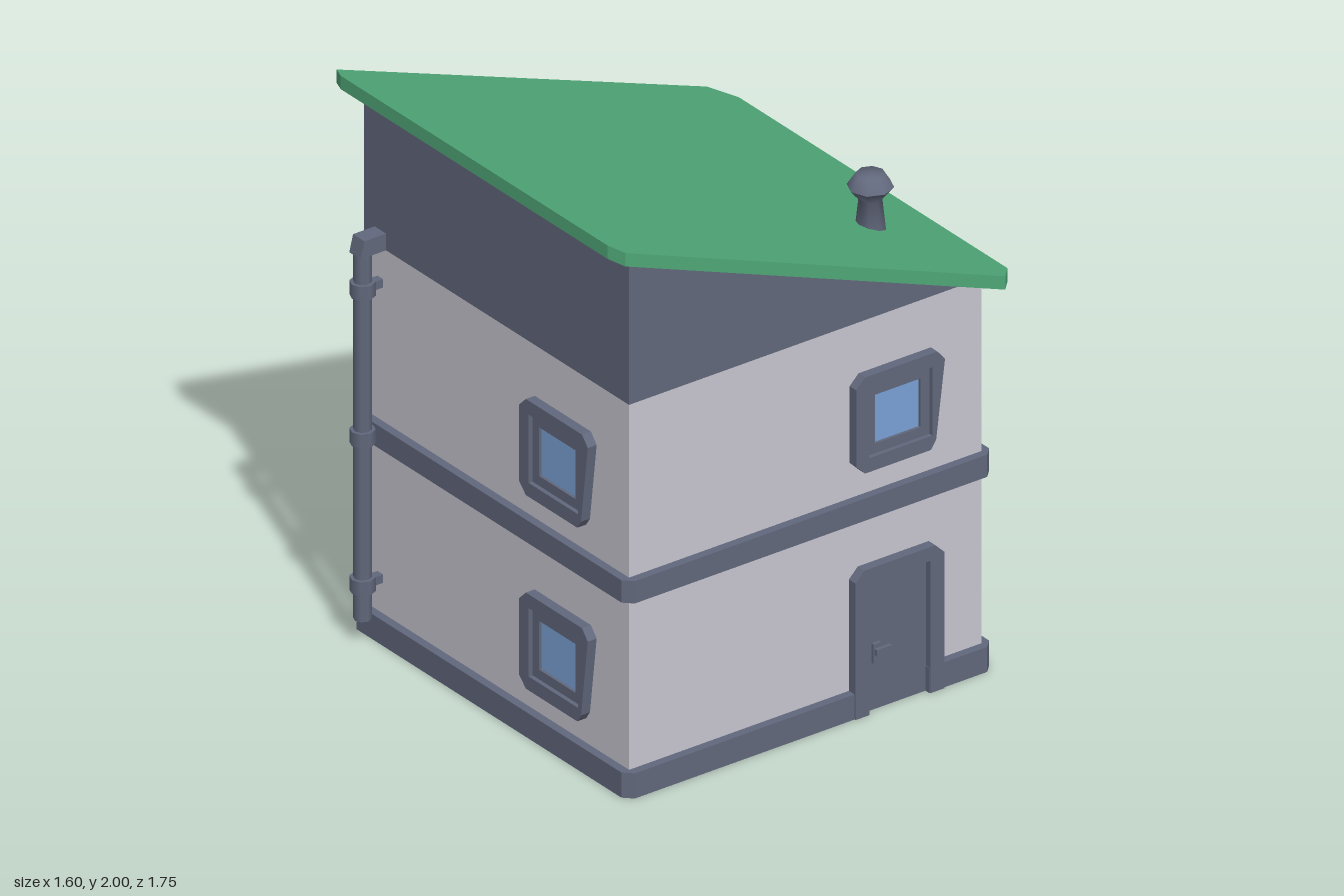
import * as THREE from 'three';
import { toCreasedNormals } from 'three/addons/utils/BufferGeometryUtils.js';

const mat = (name, color) => {
  const m = new THREE.MeshStandardMaterial({ color });
  m.name = name;
  return m;
};

export function createModel() {
  const slate = mat('slate trim', 0x62687c);
  const plaster = mat('pale plaster', 0xc8c6d0);
  const green = mat('green', 0x50a878);
  const blue = mat('blue glass', 0x7aa2d6);
  const clay = mat('clay soil', 0xc67d58);

  const house = new THREE.Group();
  house.name = 'house';

  const add = (parent, name, geo, material, x = 0, y = 0, z = 0) => {
    const m = new THREE.Mesh(geo, material);
    m.name = name;
    m.position.set(x, y, z);
    parent.add(m);
    return m;
  };
  const box = (parent, name, w, h, d, material, x, y, z) =>
    add(parent, name, new THREE.BoxGeometry(w, h, d), material, x, y, z);
  const shapeOf = (pts) => new THREE.Shape(pts.map(([x, y]) => new THREE.Vector2(x, y)));
  const extrude = (pts, depth, hole) => {
    const s = shapeOf(pts);
    if (hole) s.holes.push(shapeOf(hole));
    return new THREE.ExtrudeGeometry(s, { depth, bevelEnabled: false });
  };
  // Horizontal slab from an [x, z] outline, rising from y = 0
  const flip = (pts) => pts && pts.map(([x, z]) => [x, -z]);
  const slab = (pts, h, hole) => extrude(flip(pts), h, flip(hole)).rotateX(-Math.PI / 2);
  const rect = (w, h) => [[-w / 2, -h / 2], [w / 2, -h / 2], [w / 2, h / 2], [-w / 2, h / 2]];
  const lathe = (pts, sides) => toCreasedNormals(
    new THREE.LatheGeometry(pts.map(([r, y]) => new THREE.Vector2(r, y)), sides), 1.1);

  // Walls and the dark wedge under the roof
  box(house, 'walls', 1.39, 1.38, 1.39, plaster, 0.005, 0.71, 0.095);
  add(house, 'gable', extrude([[-0.69, 1.4], [0.7, 1.4], [-0.69, 1.925]], 1.39), slate, 0, 0, -0.6);

  // Plinth, notched at both doorways
  add(house, 'plinth', slab([
    [-0.72, -0.6], [-0.69, -0.63], [-0.47, -0.63], [-0.47, -0.6], [-0.23, -0.6], [-0.23, -0.63],
    [0.7, -0.63], [0.73, -0.6], [0.73, 0.79], [0.7, 0.82], [0.47, 0.82], [0.47, 0.79],
    [0.23, 0.79], [0.23, 0.82], [-0.69, 0.82], [-0.72, 0.79]], 0.09), slate);

  // Belt course between the floors
  add(house, 'beltCourse', slab([
    [-0.72, -0.6], [-0.69, -0.63], [0.7, -0.63], [0.73, -0.6],
    [0.73, 0.79], [0.7, 0.82], [-0.69, 0.82], [-0.72, 0.79]], 0.08), slate, 0, 0.7, 0);

  // Roof plate, sheared to its slope
  const roof = slab([
    [-0.775, -0.61], [-0.75, -0.665], [0.73, -0.69], [0.795, -0.61],
    [0.795, 0.8], [0.73, 0.875], [-0.75, 0.85], [-0.775, 0.79]], 0.048);
  const p = roof.attributes.position;
  for (let i = 0; i < p.count; i++) p.setY(i, p.getY(i) + 1.952 - 0.376 * (p.getX(i) + 0.775));
  roof.computeVertexNormals();
  add(house, 'roof', roof, green);

  // Chimney pot
  add(house, 'chimney', lathe([
    [0.052, 1.48], [0.05, 1.51], [0.038, 1.62], [0.076, 1.665], [0.047, 1.71], [0, 1.71]], 8),
  slate, 0.495, 0, 0.48);

  // Windows: skewed outer frame, recessed inner frame and glass, facing +z
  const addWindow = (name, w, h, x, y, z, turn) => {
    const g = new THREE.Group();
    g.name = name;
    const a = w / 2, b = h / 2, c = 0.035;
    const outer = [[-a, -b + c], [-a + c, -b], [a - c - 0.02, -b], [a - c, -b + 0.03],
      [a, b - c], [a - 0.03, b], [-a + c, b], [-a, b - c]];
    const hole = rect(w - 0.1, h - 0.1);
    const pane = rect(w - 0.17, h - 0.17);
    add(g, 'outerFrame', extrude(outer, 0.035, hole), slate);
    add(g, 'innerFrame', extrude(hole, 0.02, pane), slate);
    box(g, 'glass', w - 0.17, h - 0.17, 0.008, blue, 0, 0, 0.006);
    g.position.set(x, y, z);
    g.rotation.y = turn;
    house.add(g);
  };
  addWindow('frontWindow', 0.35, 0.345, 0.355, 1.045, 0.79, 0);
  for (const y of [0.35, 1.045]) addWindow('sideWindow', 0.36, 0.345, -0.69, y, 0.44, -Math.PI / 2);
  for (const [x, y] of [[0.325, 1.1], [-0.355, 1.1], [0.325, 0.4]])
    addWindow('backWindow', 0.52, 0.32, x, y, -0.6, Math.PI);

  // Doors: arch-like frame open at the floor, with a recessed panel
  const addDoor = (name, x, z, turn) => {
    const g = new THREE.Group();
    g.name = name;
    add(g, 'doorFrame', extrude([
      [-0.175, 0], [-0.12, 0], [-0.12, 0.475], [0.12, 0.475], [0.12, 0], [0.175, 0],
      [0.175, 0.49], [0.14, 0.525], [-0.14, 0.525], [-0.175, 0.49]], 0.035), slate);
    box(g, 'doorPanel', 0.24, 0.476, 0.012, slate, 0, 0.238, 0.006);
    g.position.set(x, 0, z);
    g.rotation.y = turn;
    house.add(g);
    return g;
  };
  const front = addDoor('frontDoor', 0.352, 0.79, 0);
  box(front, 'handlePlate', 0.03, 0.07, 0.012, slate, -0.08, 0.205, 0.018);
  box(front, 'handleLever', 0.06, 0.022, 0.014, slate, -0.062, 0.213, 0.03);

  const back = addDoor('backDoor', -0.352, -0.6, Math.PI);
  add(back, 'paneFrame', extrude(rect(0.1, 0.32), 0.012, rect(0.07, 0.28)), slate, 0, 0.27, 0.012);
  box(back, 'doorGlass', 0.07, 0.28, 0.006, blue, 0, 0.27, 0.014);
  const knob = lathe([[0.012, 0], [0.012, 0.015], [0.026, 0.022], [0.022, 0.04], [0, 0.04]], 8);
  add(back, 'doorKnob', knob.rotateX(Math.PI / 2), slate, 0.085, 0.215, 0.01);

  // Drainpipe with elbow and wall brackets
  const pipe = new THREE.Group();
  pipe.name = 'drainpipe';
  pipe.position.z = -0.515;
  house.add(pipe);
  add(pipe, 'pipe', new THREE.CylinderGeometry(0.03, 0.03, 1.32, 8), slate, -0.76, 0.75, 0);
  add(pipe, 'elbow', extrude([
    [-0.79, 1.4], [-0.69, 1.4], [-0.69, 1.46], [-0.775, 1.46]], 0.06), slate, 0, 0, -0.03);
  for (const y of [0.215, 0.745, 1.275]) {
    add(pipe, 'bracketRing', new THREE.CylinderGeometry(0.042, 0.042, 0.05, 8), slate, -0.76, y, 0);
    box(pipe, 'bracketArm', 0.06, 0.03, 0.03, slate, -0.71, y, 0);
  }

  // Planter with soil and two bushes
  const rim = [[0, -0.6], [0, -0.83], [0.03, -0.875], [0.67, -0.875], [0.69, -0.69], [0.7, -0.6]];
  const bed = [[0.04, -0.61], [0.045, -0.83], [0.06, -0.85], [0.645, -0.85], [0.66, -0.7], [0.66, -0.61]];
  add(house, 'planterRim', slab(rim, 0.09, bed), slate);
  add(house, 'planterFloor', slab(bed, 0.05), slate);
  add(house, 'soil', slab(bed, 0.022), clay, 0, 0.05, 0);
  // The soil bed overlaps the plinth edge, so a clay strip covers it
  box(house, 'soilEdge', 0.62, 0.004, 0.03, clay, 0.35, 0.091, -0.625);
  for (const [x, r, h] of [[0.22, 0.135, 0.2], [0.475, 0.127, 0.245]]) {
    add(house, 'bush', lathe([
      [r * 0.72, 0], [r, h * 0.35], [r * 0.9, h * 0.58], [r * 0.5, h], [0, h]], 6),
    green, x, 0.068, -0.74);
  }
  return house;
}
